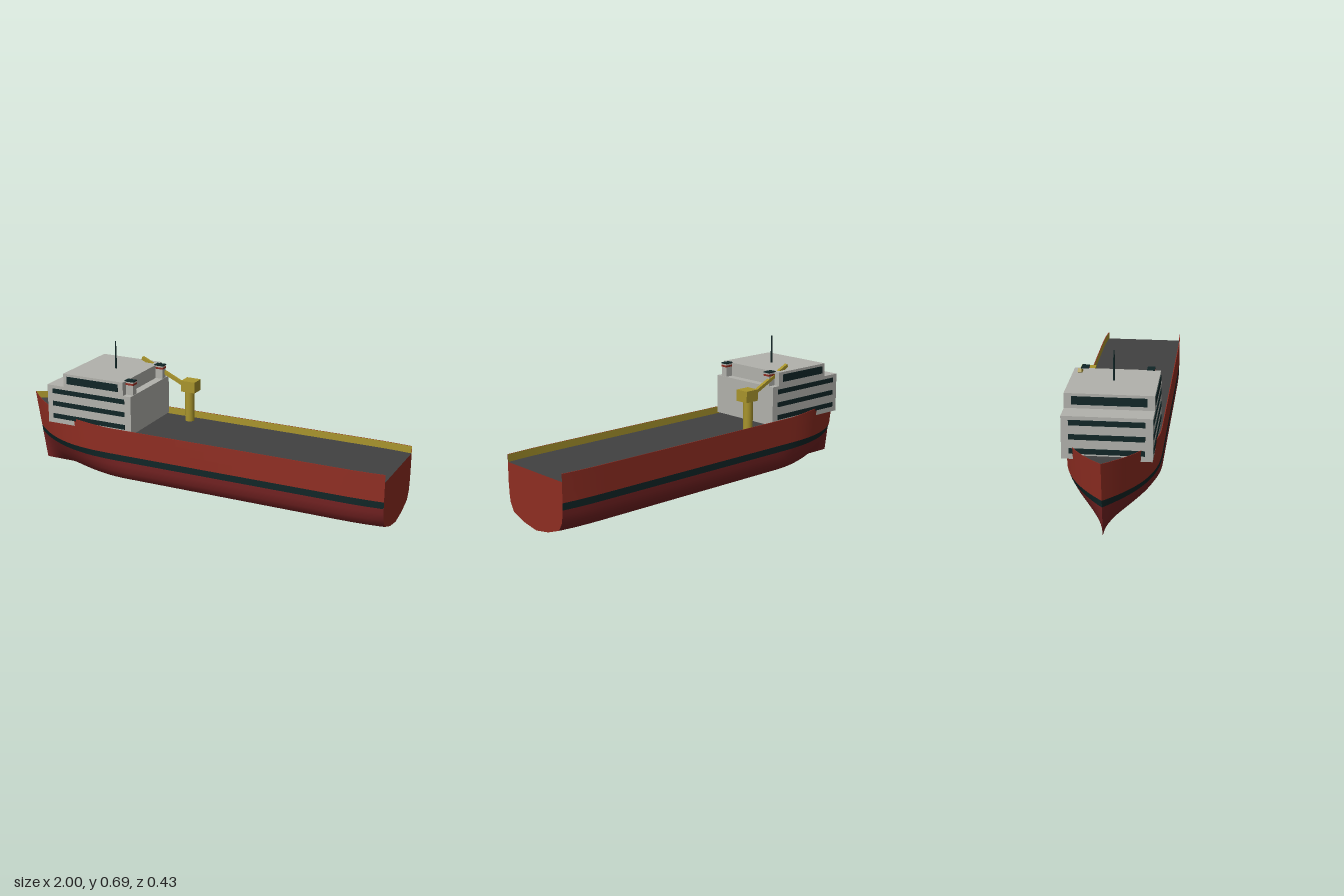
import * as THREE from 'three';

const mat = (name, color, side = THREE.FrontSide) => {
  const m = new THREE.MeshStandardMaterial({ color, side });
  m.name = name;
  return m;
};

// Hull form: bow at -x, stern at +x
const clamp = THREE.MathUtils.clamp;
const lerp = THREE.MathUtils.lerp;
const sheer = x => 0.31 + 0.05 * Math.pow(Math.max(0, (-0.42 - x) / 0.58), 1.3);
const deckLine = x => sheer(x) - 0.036;
const stem = y => -0.94 - 0.06 * y / 0.36;
const section = [[0, 0], [0.015, 0.1], [0.045, 0.19], [0.085, 0.212], [0.12, 0.2155], [0.145, 0.216], [0.5, 0.216]];

function midWidth(y) {
  for (let i = 1; i < section.length; i++) {
    const [y0, w0] = section[i - 1], [y1, w1] = section[i];
    if (y <= y1) return lerp(w0, w1, (y - y0) / (y1 - y0));
  }
  return 0.216;
}

function halfWidth(x, y) {
  const d = Math.max(0, x - stem(y));
  const full = 1 - Math.pow(1 - clamp(d / 0.56, 0, 1), 2.6);
  const fine = THREE.MathUtils.smoothstep(d, -0.04, 0.6);
  const low = 1 - clamp(y / 0.17, 0, 1);
  const entry = d < 1e-6 ? 0 : lerp(full, fine, low);
  const aft = clamp((x - 0.8) / 0.2, 0, 1);
  return midWidth(y) * entry * (1 - aft * aft * (0.045 + 0.05 * low));
}

// Point on the hull at station s (0 bow, 1 stern) and level (height or height function)
function hullPoint(s, level) {
  const y = typeof level === 'function' ? level(lerp(-1, 1, s)) : level;
  const x = lerp(stem(y), 1, s);
  return [x, y, halfWidth(x, y)];
}

const stations = [];
for (let i = 0; i <= 22; i++) stations.push(0.32 * Math.pow(i / 22, 1.4));
for (let i = 1; i <= 18; i++) stations.push(0.32 + 0.68 * i / 18);

// Grid surface: point(s, j) for each station and row
function sheet(rows, point, flip) {
  const pos = [], idx = [];
  for (const s of stations) for (let j = 0; j < rows; j++) pos.push(...point(s, j));
  for (let i = 0; i < stations.length - 1; i++) {
    for (let j = 0; j < rows - 1; j++) {
      const a = i * rows + j, b = a + rows, c = b + 1, d = a + 1;
      if (flip) idx.push(a, c, b, a, d, c);
      else idx.push(a, b, c, a, c, d);
    }
  }
  const g = new THREE.BufferGeometry();
  g.setAttribute('position', new THREE.Float32BufferAttribute(pos, 3));
  g.setIndex(idx);
  g.computeVertexNormals();
  return g;
}

export function createModel() {
  const hullRed = mat('hull red', 0x8f2d22, THREE.DoubleSide);
  const bottomRed = mat('bottom red', 0x742222, THREE.DoubleSide);
  const dark = mat('dark glass', 0x0f2526);
  const deckGrey = mat('deck grey', 0x414141);
  const white = mat('house grey', 0xb2b2ac);
  const yellow = mat('crane yellow', 0xa8942c);

  const model = new THREE.Group();
  model.name = 'cargoShip';
  const add = (name, geometry, material, x = 0, y = 0, z = 0, parent = model) => {
    const m = new THREE.Mesh(geometry, material);
    m.name = name;
    m.position.set(x, y, z);
    parent.add(m);
    return m;
  };
  // Box given by its minimum and maximum corners
  const box = (name, material, x0, x1, y0, y1, z0, z1, parent) =>
    add(name, new THREE.BoxGeometry(x1 - x0, y1 - y0, z1 - z0), material,
      (x0 + x1) / 2, (y0 + y1) / 2, (z0 + z1) / 2, parent);

  // Hull plating, bands of colour on both sides
  const hull = new THREE.Group();
  hull.name = 'hull';
  model.add(hull);
  const bands = [
    ['hullBottom', bottomRed, [0, 0.015, 0.045, 0.085, 0.12, 0.145]],
    ['hullStripe', dark, [0.145, 0.178]],
    ['hullSide', hullRed, [0.178, 0.23, deckLine, sheer]],
  ];
  const inset = 0.004;
  for (const side of [1, -1]) {
    for (const [name, material, levels] of bands) {
      add(name, sheet(levels.length, (s, j) => {
        const [x, y, w] = hullPoint(s, levels[j]);
        return [x, y, side * w];
      }, side < 0), material, 0, 0, 0, hull);
    }
    // Inner face of the bulwark and its narrow rim
    add('bulwarkInside', sheet(2, (s, j) => {
      const [x, y, w] = hullPoint(s, j ? sheer : deckLine);
      return [x, y, side * Math.max(0, w - inset)];
    }, side > 0), yellow, 0, 0, 0, hull);
    add('bulwarkRim', sheet(2, (s, j) => {
      const [x, y, w] = hullPoint(s, sheer);
      return [x, y, side * Math.max(0, w - inset * j)];
    }, side < 0), hullRed, 0, 0, 0, hull);
  }

  // Deck following the sheer
  add('deck', sheet(2, (s, j) => {
    const [x, y, w] = hullPoint(s, deckLine);
    return [x, y, j ? -w : w];
  }, false), deckGrey, 0, 0, 0, hull);

  // Flat transom at the stern
  const edge = [0, 0.015, 0.045, 0.085, 0.12, 0.178, deckLine(1)].map(y => [halfWidth(1, y), y]);
  const outline = [...edge, ...edge.slice(1).reverse().map(([w, y]) => [-w, y])];
  const transom = new THREE.ShapeGeometry(new THREE.Shape(outline.map(p => new THREE.Vector2(...p))));
  add('transom', transom.rotateY(Math.PI / 2), hullRed, 1, 0, 0, hull);

  // Deckhouse with a stepped bridge
  const house = new THREE.Group();
  house.name = 'deckhouse';
  model.add(house);
  box('lowerHouse', white, -0.787, -0.305, 0.285, 0.484, -0.2, 0.2, house);
  box('bridge', white, -0.69, -0.347, 0.484, 0.553, -0.2, 0.2, house);

  // Window strips: [bottom, top, fore end, aft end, front wall]
  const strips = [
    [0.311, 0.335, -0.757, -0.34, -0.787],
    [0.377, 0.401, -0.757, -0.34, -0.787],
    [0.443, 0.467, -0.757, -0.34, -0.787],
    [0.502, 0.54, -0.67, -0.375, -0.69],
  ];
  for (const [y0, y1, x0, x1, front] of strips) {
    for (const side of [1, -1]) {
      box('sideWindows', dark, x0, x1, y0, y1, side * 0.2 - 0.003, side * 0.2 + 0.003, house);
    }
    box('frontWindows', dark, front - 0.004, front + 0.002, y0, y1, -0.167, 0.167, house);
  }

  // Twin funnels behind the bridge
  for (const side of [1, -1]) {
    const funnel = new THREE.Group();
    funnel.name = 'funnel';
    funnel.position.z = side * 0.153;
    house.add(funnel);
    box('funnelCasing', white, -0.35, -0.307, 0.484, 0.552, -0.016, 0.016, funnel);
    box('funnelBand', hullRed, -0.352, -0.304, 0.534, 0.543, -0.018, 0.018, funnel);
    box('funnelCap', dark, -0.354, -0.303, 0.551, 0.556, -0.018, 0.018, funnel);
  }

  // Mast
  add('mast', new THREE.CylinderGeometry(0.003, 0.005, 0.142, 10), dark, -0.5, 0.624, 0);

  // Deck crane
  const crane = new THREE.Group();
  crane.name = 'crane';
  crane.position.set(-0.165, 0, -0.165);
  model.add(crane);
  add('cranePost', new THREE.CylinderGeometry(0.024, 0.024, 0.165, 16), yellow, 0, 0.355, 0, crane);
  box('craneCab', yellow, -0.032, 0.045, 0.434, 0.491, -0.035, 0.035, crane);
  const from = new THREE.Vector2(-0.02, 0.456), to = new THREE.Vector2(-0.273, 0.573);
  const boom = add('craneBoom', new THREE.BoxGeometry(from.distanceTo(to), 0.017, 0.017), yellow,
    (from.x + to.x) / 2, (from.y + to.y) / 2, 0, crane);
  boom.rotation.z = Math.atan2(to.y - from.y, to.x - from.x);

  return model;
}
